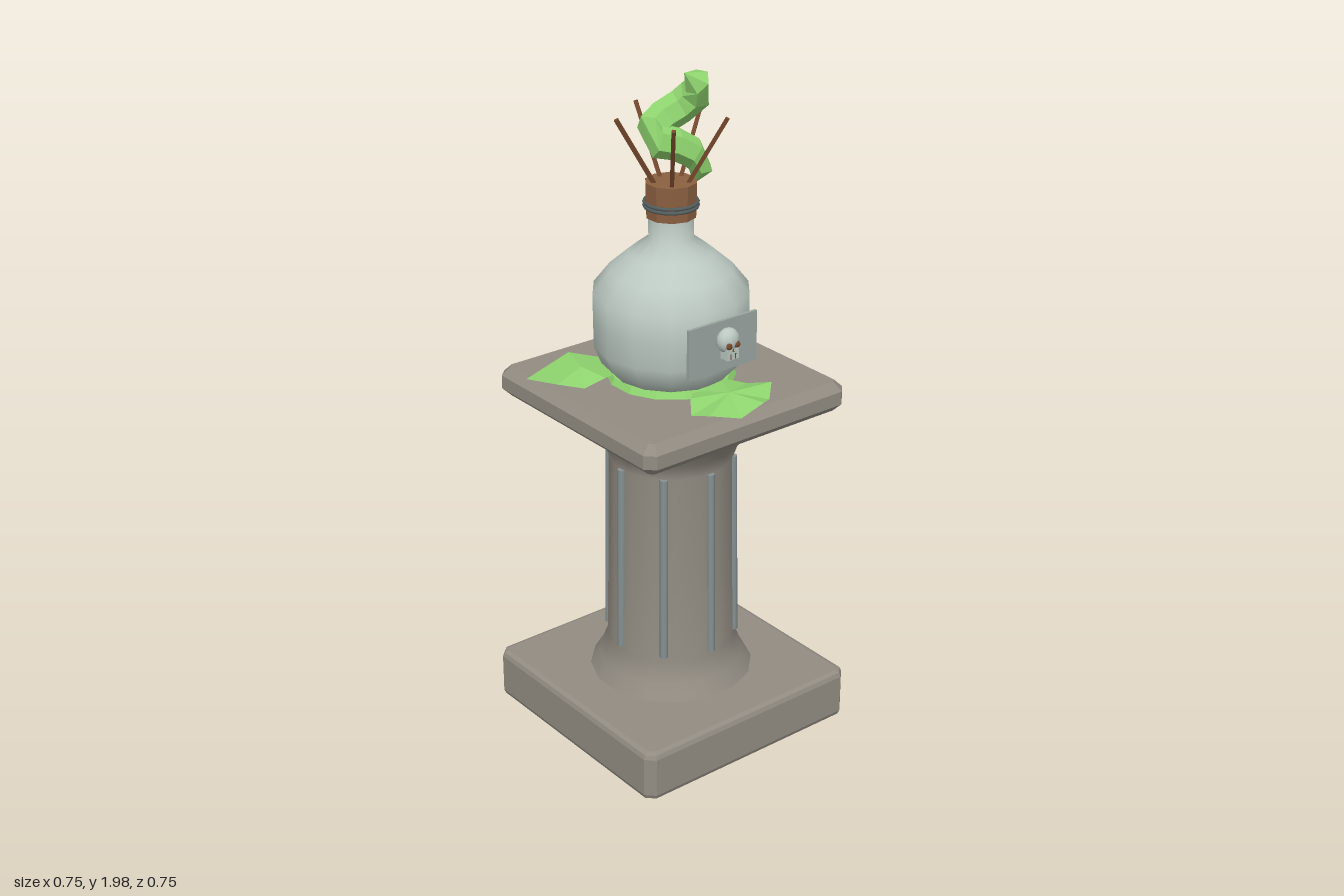
import * as THREE from 'three';

const mat = (name, color, extra = {}) => {
  const m = new THREE.MeshStandardMaterial({ color, ...extra });
  m.name = name;
  return m;
};
const flat = { flatShading: true };
const stone = mat('stone', 0x928c82);
const glass = mat('pale glass', 0xbcc9c2);
const plate = mat('plate grey', 0x9ba6a1, flat);
const metal = mat('flute metal', 0x869192);
const cork = mat('cork brown', 0x8a6040, flat);
const twig = mat('twig brown', 0x75482c, flat);
const wire = mat('dark wire', 0x555f60);
const leaf = mat('leaf green', 0x8fd56f, { flatShading: true, side: THREE.DoubleSide });

const v = (x, y, z) => new THREE.Vector3(x, y, z);

export function createModel() {
  const model = new THREE.Group();
  const add = (name, geo, material, x = 0, y = 0, z = 0, parent = model) => {
    const m = new THREE.Mesh(geo, material);
    m.name = name;
    m.position.set(x, y, z);
    parent.add(m);
    return m;
  };

  // Square stone block with cut corners and bevelled top and bottom edges
  const block = (half, height, bevel, cut, segments) => {
    const h = half - bevel, s = new THREE.Shape();
    const c = h - cut;
    [[c, -h], [h, -c], [h, c], [c, h], [-c, h], [-h, c], [-h, -c], [-c, -h]]
      .forEach(([x, y], i) => (i ? s.lineTo(x, y) : s.moveTo(x, y)));
    s.closePath();
    const g = new THREE.ExtrudeGeometry(s, {
      depth: height - 2 * bevel, bevelEnabled: true, bevelSize: bevel,
      bevelThickness: bevel, bevelSegments: segments,
    });
    return g.rotateX(-Math.PI / 2).translate(0, bevel, 0);
  };
  const lathe = (pts, sides) =>
    new THREE.LatheGeometry(pts.map(p => new THREE.Vector2(...p)), sides)
      .rotateY(Math.PI / sides);

  // Thin square or round stick between two points
  const stick = (name, a, b, r, sides, material, parent) => {
    const m = add(name, new THREE.CylinderGeometry(r, r, a.distanceTo(b), sides), material,
      0, 0, 0, parent);
    m.position.copy(a).add(b).multiplyScalar(0.5);
    m.quaternion.setFromUnitVectors(v(0, 1, 0), b.clone().sub(a).normalize());
    return m;
  };

  // Pedestal
  add('base', block(0.375, 0.155, 0.018, 0.015, 2), stone);
  add('topSlab', block(0.355, 0.09, 0.025, 0.012, 1), stone, 0, 1.01, 0);
  add('column', lathe([[0.245, 0.15], [0.215, 0.2], [0.19, 0.26], [0.185, 0.5], [0.18, 0.85],
    [0.198, 0.9], [0.24, 0.955], [0.285, 1.015]], 16), stone);
  const flutes = new THREE.Group();
  flutes.name = 'columnFlutes';
  model.add(flutes);
  for (let i = 0; i < 8; i++) {
    const a = i * Math.PI / 4, s = Math.sin(a), c = Math.cos(a);
    stick('flute', v(s * 0.187, 0.275, c * 0.187), v(s * 0.179, 0.85, c * 0.179),
      0.012, 8, metal, flutes);
  }

  // Flask
  add('flask', lathe([[0, 1.105], [0.165, 1.112], [0.2, 1.15], [0.22, 1.2], [0.222, 1.28],
    [0.222, 1.36], [0.175, 1.42], [0.12, 1.468], [0.064, 1.51], [0.064, 1.59]], 14), glass);
  add('leafCollar', new THREE.CylinderGeometry(0.175, 0.185, 0.018, 14), leaf, 0, 1.109, 0);

  // Stopper with its wire binding
  add('stopper', new THREE.CylinderGeometry(0.073, 0.071, 0.1, 10), cork, 0, 1.622, 0);
  for (const y of [1.603, 1.614]) {
    add('bindingWire', new THREE.TorusGeometry(0.074, 0.005, 6, 20).rotateX(Math.PI / 2),
      wire, 0, y, 0);
  }

  // Twigs fanning out of the stopper
  for (let i = 0; i < 5; i++) {
    const a = Math.PI + i * Math.PI * 2 / 5, s = Math.sin(a), c = Math.cos(a);
    stick('twig', v(s * 0.038, 1.65, c * 0.038), v(s * 0.156, 1.86, c * 0.156), 0.0075, 4, twig);
  }

  // Curling sprout: a faceted tube whose rings shrink towards the ends
  const path = new THREE.CatmullRomCurve3([
    v(0.07, 1.65, 0.01), v(0.075, 1.72, 0.03), v(0.02, 1.77, 0.015), v(-0.062, 1.802, -0.02),
    v(0.005, 1.835, -0.045), v(0.075, 1.88, -0.015), v(0.075, 1.93, 0.025), v(0.02, 1.975, 0.03),
  ]);
  const rings = 10, sides = 6;
  const sprout = new THREE.TubeGeometry(path, rings, 0.047, sides);
  const pos = sprout.attributes.position, p = new THREE.Vector3();
  const widths = [0, 0.8, 0.9, 0.95, 1, 0.95, 1, 1, 1, 0.85, 0];
  for (let i = 0; i < pos.count; i++) {
    const ring = Math.floor(i / (sides + 1));
    const centre = path.getPointAt(ring / rings);
    p.fromBufferAttribute(pos, i).sub(centre).multiplyScalar(widths[ring]).add(centre);
    pos.setXYZ(i, p.x, p.y, p.z);
  }
  add('sprout', sprout, leaf);

  // Leaves lying on the slab: a raised centre fanned out to a wavy rim
  const makeLeaf = (name, rim) => {
    const cx = rim.reduce((s, q) => s + q[0], 0) / rim.length;
    const cz = rim.reduce((s, q) => s + q[1], 0) / rim.length;
    const pts = [];
    const at = i => {
      const k = i % rim.length;
      return [rim[k][0], k % 2 ? 1.125 : 1.108, rim[k][1]];
    };
    rim.forEach((_, i) => pts.push(cx, 1.135, cz, ...at(i + 1), ...at(i)));
    const g = new THREE.BufferGeometry();
    g.setAttribute('position', new THREE.Float32BufferAttribute(pts, 3));
    g.computeVertexNormals();
    add(name, g, leaf);
  };
  makeLeaf('frontLeaf', [[-0.145, 0.27], [-0.1, 0.21], [-0.04, 0.15], [0.05, 0.15], [0.11, 0.2],
    [0.145, 0.265], [0.09, 0.32], [0.04, 0.355], [-0.05, 0.366], [-0.13, 0.33]]);
  makeLeaf('rightBackLeaf', [[-0.09, -0.18], [-0.175, -0.252], [-0.355, -0.205], [-0.33, -0.09],
    [-0.265, -0.052], [-0.2, -0.043], [-0.12, -0.08]]);
  makeLeaf('leftBackLeaf', [[0.09, -0.18], [0.19, -0.222], [0.355, -0.195], [0.335, -0.1],
    [0.275, -0.042], [0.19, -0.052], [0.12, -0.08]]);

  // Label plate with a small skull
  add('labelPlate', new THREE.BoxGeometry(0.24, 0.148, 0.009), plate, 0, 1.261, 0.223);
  const skull = new THREE.Group();
  skull.name = 'skull';
  skull.position.set(0, 1.28, 0.247);
  model.add(skull);
  add('cranium', new THREE.SphereGeometry(0.036, 10, 8).scale(1, 1, 0.75), glass, 0, 0.004, 0, skull);
  add('jaw', new THREE.BoxGeometry(0.04, 0.03, 0.03), glass, 0, -0.031, 0.008, skull);
  for (const s of [-1, 1]) {
    add('eyeSocket', new THREE.SphereGeometry(0.01, 8, 6).scale(1, 1, 0.7), twig,
      s * 0.014, -0.004, 0.023, skull);
    add('toothGap', new THREE.BoxGeometry(0.004, 0.016, 0.004), twig, s * 0.008, -0.036, 0.022, skull);
  }
  add('noseHole', new THREE.ConeGeometry(0.005, 0.01, 3), twig, 0, -0.017, 0.024, skull);

  return model;
}
